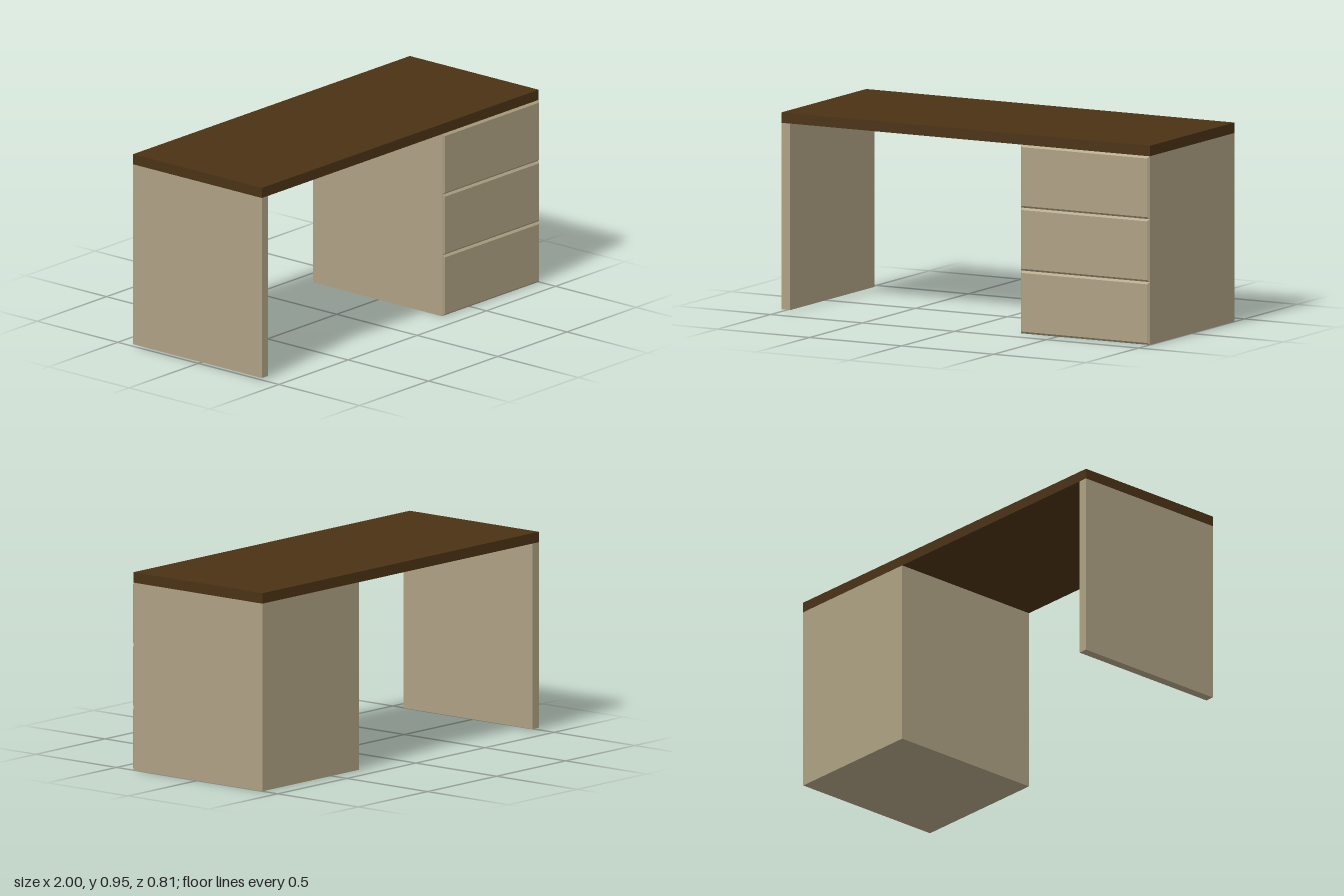
import * as THREE from 'three';

const wood = new THREE.MeshStandardMaterial({ color: 0x4a3214 });
const panel = new THREE.MeshStandardMaterial({ color: 0xaea183 });

// Box given by its minimum and maximum corners
function box(name, material, [x0, y0, z0], [x1, y1, z1]) {
  const geometry = new THREE.BoxGeometry(x1 - x0, y1 - y0, z1 - z0);
  const mesh = new THREE.Mesh(geometry, material);
  mesh.position.set((x0 + x1) / 2, (y0 + y1) / 2, (z0 + z1) / 2);
  mesh.name = name;
  return mesh;
}

// Pull the front corners of a box inward to chamfer its front edges
function chamferFront(mesh, inset) {
  const p = mesh.geometry.attributes.position;
  for (let i = 0; i < p.count; i++) {
    if (p.getZ(i) > 0) {
      p.setX(i, p.getX(i) - Math.sign(p.getX(i)) * inset);
      p.setY(i, p.getY(i) - Math.sign(p.getY(i)) * inset);
    }
  }
  mesh.geometry.computeVertexNormals();
  return mesh;
}

export function createModel() {
  const desk = new THREE.Group();
  desk.name = 'desk';
  const back = -0.405, front = 0.395, underside = 0.9;

  desk.add(box('desktop', wood, [-1, underside, back], [1, 0.95, front]));
  desk.add(box('sidePanel', panel, [-1, 0.01, back], [-0.955, underside, front]));

  // Drawer pedestal with three chamfered fronts
  const pedestal = new THREE.Group();
  pedestal.name = 'drawerPedestal';
  pedestal.add(box('cabinet', panel, [0.3, 0, back], [1, underside, front]));
  for (let i = 0; i < 3; i++) {
    const drawer = box(`drawerFront${i + 1}`, panel, [0.3, i * 0.3, front], [1, (i + 1) * 0.3, 0.405]);
    pedestal.add(chamferFront(drawer, 0.01));
  }
  desk.add(pedestal);
  return desk;
}
